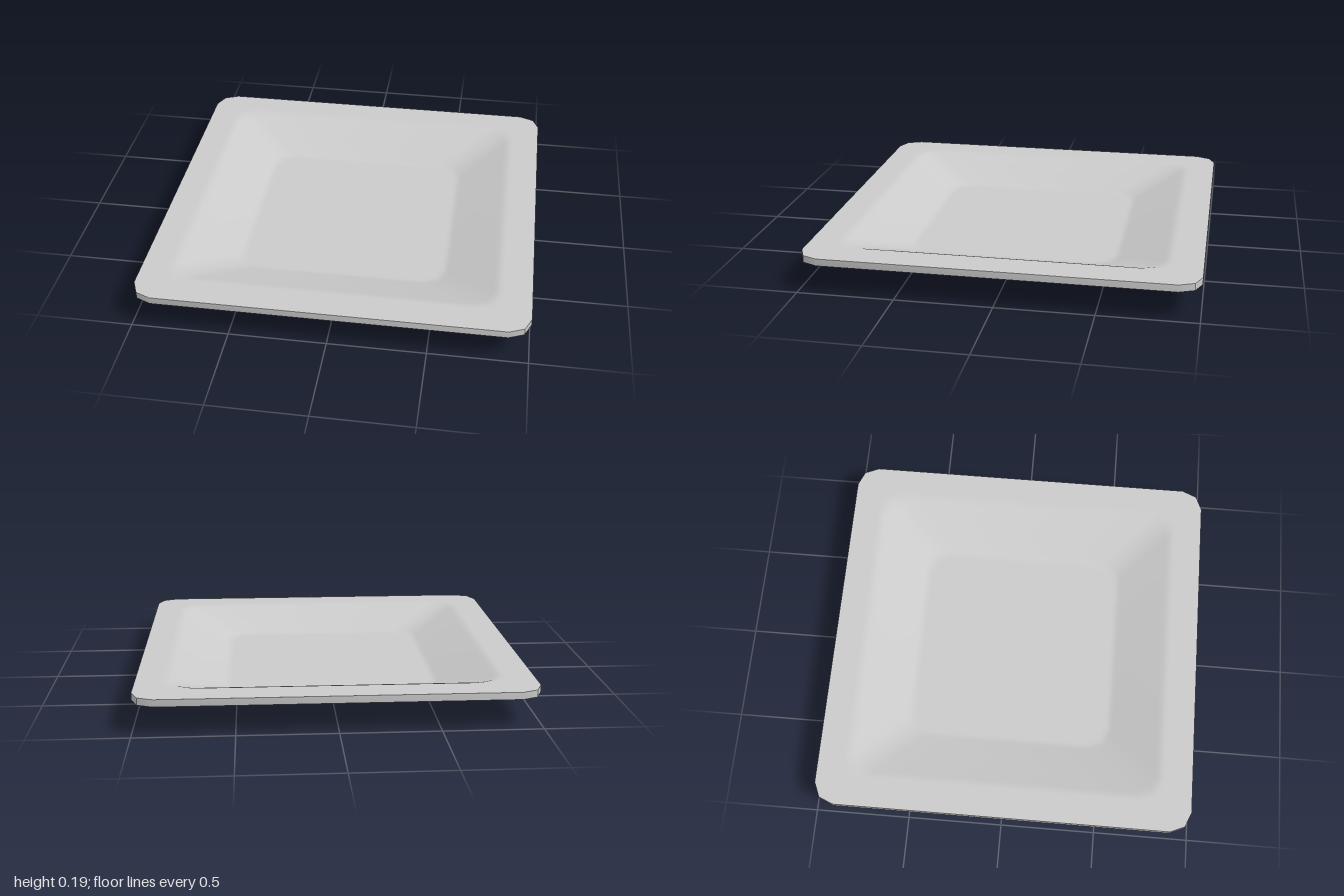
import * as THREE from 'three';
import { toCreasedNormals } from 'three/addons/utils/BufferGeometryUtils.js';

// Square outline with softened corners: three points per corner, twelve in all
function squareRing(half, y, cut = 0.11) {
  const m = half - 0.3 * cut;
  const ring = [];
  let corner = [[half, -(half - cut)], [m, -m], [half - cut, -half]];
  for (let k = 0; k < 4; k++) {
    corner.forEach(([x, z]) => ring.push([x, y, z]));
    corner = corner.map(([x, z]) => [z, -x]);
  }
  return ring;
}

// Skin a list of rings, closing both ends with a fan
function loft(rings) {
  const n = rings[0].length, last = rings.length - 1;
  const positions = rings.flat(2), index = [];
  const topCentre = rings.length * n, bottomCentre = topCentre + 1;
  positions.push(0, rings[0][0][1], 0, 0, rings[last][0][1], 0);
  for (let j = 0; j < n; j++) {
    const k = (j + 1) % n;
    index.push(topCentre, j, k);
    for (let i = 0; i < last; i++) {
      const a = i * n + j, b = a + n, c = (i + 1) * n + k, d = i * n + k;
      index.push(a, b, c, a, c, d);
    }
    index.push(bottomCentre, last * n + k, last * n + j);
  }
  const geometry = new THREE.BufferGeometry();
  geometry.setAttribute('position', new THREE.Float32BufferAttribute(positions, 3));
  geometry.setIndex(index);
  return toCreasedNormals(geometry, 0.6);
}

export function createModel() {
  const group = new THREE.Group();
  group.name = 'squarePlate';

  // Half width and height, from the dish floor over the rim to the base
  const profile = [
    [0.52, 0.075], [0.54, 0.075], [0.555, 0.079], [0.57, 0.085], // floor edge
    [0.80, 0.178], [0.82, 0.186], [0.84, 0.19], [0.86, 0.19],    // top of slope
    [1, 0.19], [1, 0.153],                                       // rim
    [0.87, 0.153], [0.85, 0.153], [0.83, 0.147], [0.81, 0.136],  // under the rim
    [0.58, 0.017], [0.56, 0.006], [0.54, 0], [0.52, 0],          // base edge
  ];

  const plate = new THREE.Mesh(
    loft(profile.map(([half, y]) => squareRing(half, y))),
    new THREE.MeshStandardMaterial({ color: 0xcccccc })
  );
  plate.name = 'plate';
  group.add(plate);
  return group;
}
